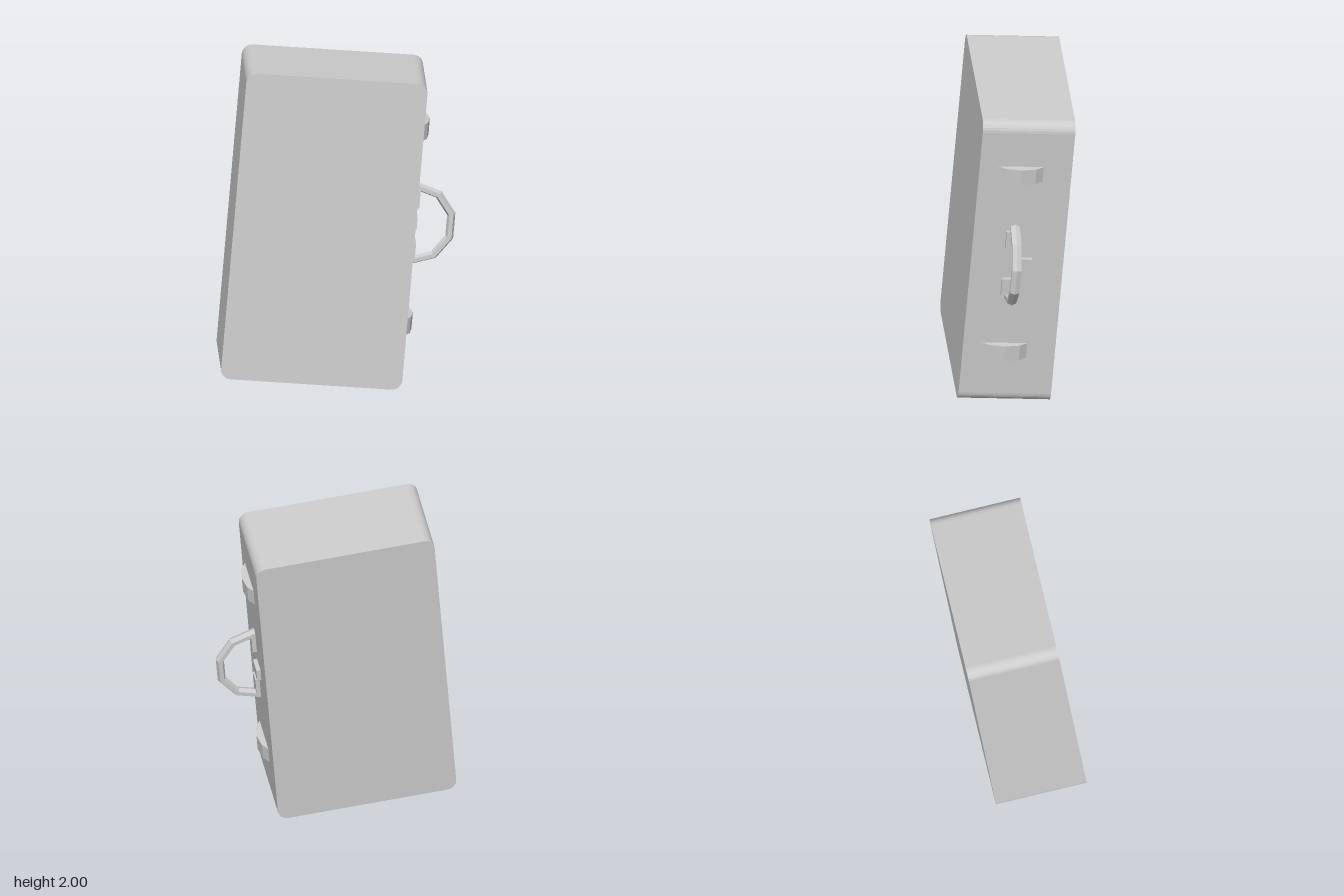
import * as THREE from 'three';

const W = 1.066, L = 1.89, T = 0.546; // case width, length, thickness
const material = new THREE.MeshStandardMaterial({ color: 0xcccccc, flatShading: true });

function addMesh(parent, name, geometry, x = 0, y = 0, z = 0) {
  const mesh = new THREE.Mesh(geometry, material);
  mesh.name = name;
  mesh.position.set(x, y, z);
  parent.add(mesh);
  return mesh;
}

// Rectangle with softened corners, extruded through the thickness
function caseGeometry() {
  const r = 0.06, x = W / 2, y = L / 2;
  const s = new THREE.Shape();
  s.moveTo(-x + r, -y);
  s.absarc(x - r, -y + r, r, -Math.PI / 2, 0);
  s.absarc(x - r, y - r, r, 0, Math.PI / 2);
  s.absarc(-x + r, y - r, r, Math.PI / 2, Math.PI);
  s.absarc(-x + r, -y + r, r, Math.PI, Math.PI * 1.5);
  return new THREE.ExtrudeGeometry(s, { depth: T, bevelEnabled: false, curveSegments: 3 })
    .translate(0, 0, -T / 2);
}

// Low arched strap: profile in (height, across), extruded along the case
function claspGeometry() {
  const profile = [[-0.01, 0.135], [0, 0.135], [0.03, 0.09], [0.045, 0], [0.03, -0.09], [0, -0.135], [-0.01, -0.135]];
  const s = new THREE.Shape(profile.map(([h, w]) => new THREE.Vector2(h, -w)));
  return new THREE.ExtrudeGeometry(s, { depth: 0.1, bevelEnabled: false })
    .translate(0, 0, -0.05)
    .rotateX(-Math.PI / 2);
}

export function createModel() {
  const model = new THREE.Group();
  model.name = 'suitcase';

  addMesh(model, 'caseBody', caseGeometry());

  // Fittings on the handle side
  const side = new THREE.Group();
  side.name = 'handleSide';
  side.position.set(W / 2, 0.01, 0.03);
  model.add(side);

  // Faceted half-ring handle
  const ring = new THREE.TorusGeometry(0.23, 0.025, 6, 5, Math.PI)
    .rotateZ(-Math.PI / 2)
    .scale(1, 1, 1.25);
  addMesh(side, 'handle', ring);

  for (const s of [1, -1]) {
    addMesh(side, s > 0 ? 'upperClasp' : 'lowerClasp', claspGeometry(), 0, s * 0.6, 0);
    addMesh(side, 'handleBracket', new THREE.BoxGeometry(0.05, 0.11, 0.08), 0, s * 0.16, 0.01);
  }
  addMesh(side, 'latch', new THREE.BoxGeometry(0.05, 0.075, 0.11), 0, -0.005, -0.06);

  // The case stands tilted and turned: columns are its width, length and front directions
  const along = new THREE.Vector3(0.0372, 0.9937, -0.1063).normalize();
  const across = new THREE.Vector3(0.8568, -0.0866, -0.5084).normalize();
  const front = across.clone().cross(along).normalize();
  model.quaternion.setFromRotationMatrix(new THREE.Matrix4().makeBasis(across, along, front));
  model.position.set(-0.033, 1, 0);

  const root = new THREE.Group();
  root.add(model);
  return root;
}
